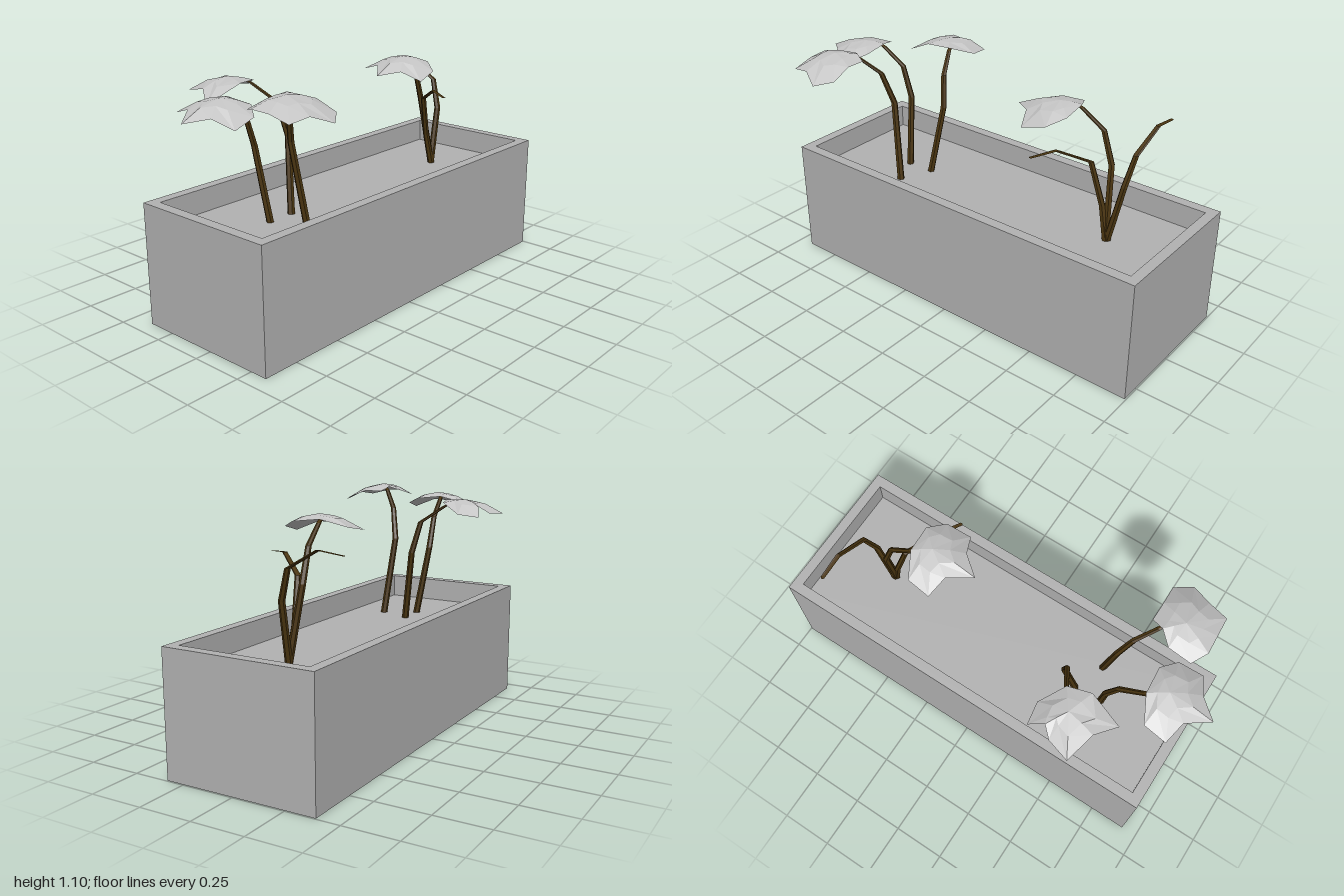
import * as THREE from 'three';

const concrete = new THREE.MeshStandardMaterial({ color: 0xb2b2b2, flatShading: true });
concrete.name = 'planterGrey';
const bark = new THREE.MeshStandardMaterial({ color: 0x4a3510, flatShading: true });
bark.name = 'stemBrown';
const leafGrey = new THREE.MeshStandardMaterial({ color: 0xc4c4c4, flatShading: true, side: THREE.DoubleSide });
leafGrey.name = 'leafGrey';

function geometryFrom(points, index) {
  const g = new THREE.BufferGeometry();
  g.setAttribute('position', new THREE.Float32BufferAttribute(points, 3));
  g.setIndex(index);
  const flat = g.toNonIndexed();
  flat.computeVertexNormals();
  return flat;
}

function addMesh(group, name, geometry, material) {
  const mesh = new THREE.Mesh(geometry, material);
  mesh.name = name;
  group.add(mesh);
  return mesh;
}

// Tapered stem: level six-sided rings strung along [x, y, z] points
function stemGeometry(path) {
  const sides = 6, pos = [], idx = [], last = path.length - 1;
  path.forEach(([x, y, z], i) => {
    const r = THREE.MathUtils.lerp(0.017, 0.009, i / last);
    for (let s = 0; s < sides; s++) {
      const a = (s / sides) * Math.PI * 2;
      pos.push(x + r * Math.cos(a), y, z + r * Math.sin(a));
    }
  });
  for (let i = 0; i < last; i++) {
    for (let s = 0; s < sides; s++) {
      const a = i * sides + s, b = i * sides + (s + 1) % sides;
      idx.push(a, a + sides, b, b, a + sides, b + sides);
    }
  }
  const top = last * sides;
  for (let s = 1; s < sides - 1; s++) {
    idx.push(0, s, s + 1);
    idx.push(top, top + s + 1, top + s);
  }
  return geometryFrom(pos, idx);
}

// Domed lobed leaf: hub, a raised middle ring and the drooping outline
function leafGeometry(hub, outline) {
  const n = outline.length, pos = [...hub], idx = [];
  for (const [t, drop] of [[0.52, 0.3], [1, 1]]) {
    for (const p of outline) {
      pos.push(
        THREE.MathUtils.lerp(hub[0], p[0], t),
        THREE.MathUtils.lerp(hub[1], p[1], drop),
        THREE.MathUtils.lerp(hub[2], p[2], t));
    }
  }
  for (let i = 0; i < n; i++) {
    const a = 1 + i, b = 1 + (i + 1) % n;
    idx.push(0, b, a, a, b, a + n, b, b + n, a + n);
  }
  return geometryFrom(pos, idx);
}

// Side stem and leaf, used once in each clump
const sideStem = [[-0.53, 0.46, -0.03], [-0.557, 0.8, -0.085], [-0.605, 0.95, -0.085],
  [-0.71, 1.03, -0.068], [-0.74, 1.045, -0.06]];
const sideLeaf = [[-1, 0.995, -0.01], [-0.9, 1.02, -0.09], [-0.88, 0.99, -0.19],
  [-0.77, 1.01, -0.18], [-0.71, 1.045, -0.07], [-0.7, 1.03, 0.06],
  [-0.755, 1.0, 0.135], [-0.87, 0.97, 0.15], [-0.91, 1.01, 0.06]];
const sideHub = [-0.79, 1.06, -0.02];

const frontStem = [[-0.455, 0.46, 0.12], [-0.508, 0.84, 0.085], [-0.55, 0.99, 0.12],
  [-0.62, 1.075, 0.195], [-0.64, 1.09, 0.22]];
const frontLeaf = [[-0.84, 1.06, 0.21], [-0.8, 1.04, 0.14], [-0.69, 1.065, 0.14],
  [-0.63, 1.09, 0.19], [-0.575, 1.07, 0.21], [-0.575, 1.07, 0.3], [-0.57, 1.03, 0.4],
  [-0.645, 1.01, 0.46], [-0.735, 1.045, 0.415], [-0.83, 1.03, 0.4], [-0.835, 1.055, 0.3]];
const frontHub = [-0.7, 1.1, 0.26];

const backStem = [[-0.395, 0.46, -0.035], [-0.35, 0.8, -0.09], [-0.375, 0.95, -0.125],
  [-0.43, 1.03, -0.23], [-0.44, 1.04, -0.25]];
const backLeaf = [[-0.69, 0.975, -0.23], [-0.62, 1.02, -0.33], [-0.585, 0.99, -0.47],
  [-0.48, 1.0, -0.44], [-0.435, 1.035, -0.4], [-0.37, 0.99, -0.43],
  [-0.355, 1.0, -0.33], [-0.425, 1.045, -0.22], [-0.53, 1.05, -0.19]];
const backHub = [-0.49, 1.06, -0.31];

// Leafless twigs of the second clump
const frontTwig = [[0.635, 0.46, -0.03], [0.6, 0.62, -0.04], [0.545, 0.82, -0.02],
  [0.45, 0.895, 0.11], [0.395, 0.885, 0.21]];
const backTwig = [[0.64, 0.46, -0.035], [0.7, 0.74, -0.045], [0.72, 0.88, -0.09],
  [0.732, 0.965, -0.24], [0.732, 0.952, -0.355]];

function rectangle(PathType, x0, x1, z0, z1) {
  return new PathType([[x0, -z1], [x1, -z1], [x1, -z0], [x0, -z0]].map(([x, y]) => new THREE.Vector2(x, y)));
}

export function createModel() {
  const model = new THREE.Group();
  model.name = 'planter';

  // Trough walls and the raised bed inside them
  const walls = rectangle(THREE.Shape, -0.925, 0.995, -0.39, 0.335);
  walls.holes.push(rectangle(THREE.Path, -0.875, 0.947, -0.34, 0.285));
  const wallGeometry = new THREE.ExtrudeGeometry(walls, { depth: 0.57, bevelEnabled: false });
  wallGeometry.rotateX(-Math.PI / 2);
  addMesh(model, 'troughWalls', wallGeometry, concrete);
  addMesh(model, 'bed', new THREE.BoxGeometry(1.822, 0.46, 0.625), concrete).position.set(0.036, 0.23, -0.0275);

  // Leafy stems
  const plants = [
    ['side', sideStem, sideHub, sideLeaf, 0],
    ['front', frontStem, frontHub, frontLeaf, 0],
    ['back', backStem, backHub, backLeaf, 0],
    ['secondClump', sideStem, sideHub, sideLeaf, 1.165],
  ];
  for (const [name, stem, hub, leaf, shift] of plants) {
    const plant = new THREE.Group();
    plant.name = name + 'Plant';
    plant.position.x = shift;
    addMesh(plant, name + 'Stem', stemGeometry(stem), bark);
    addMesh(plant, name + 'Leaf', leafGeometry(hub, leaf), leafGrey);
    model.add(plant);
  }

  // Bare twigs
  addMesh(model, 'frontTwig', stemGeometry(frontTwig), bark);
  addMesh(model, 'backTwig', stemGeometry(backTwig), bark);
  return model;
}
